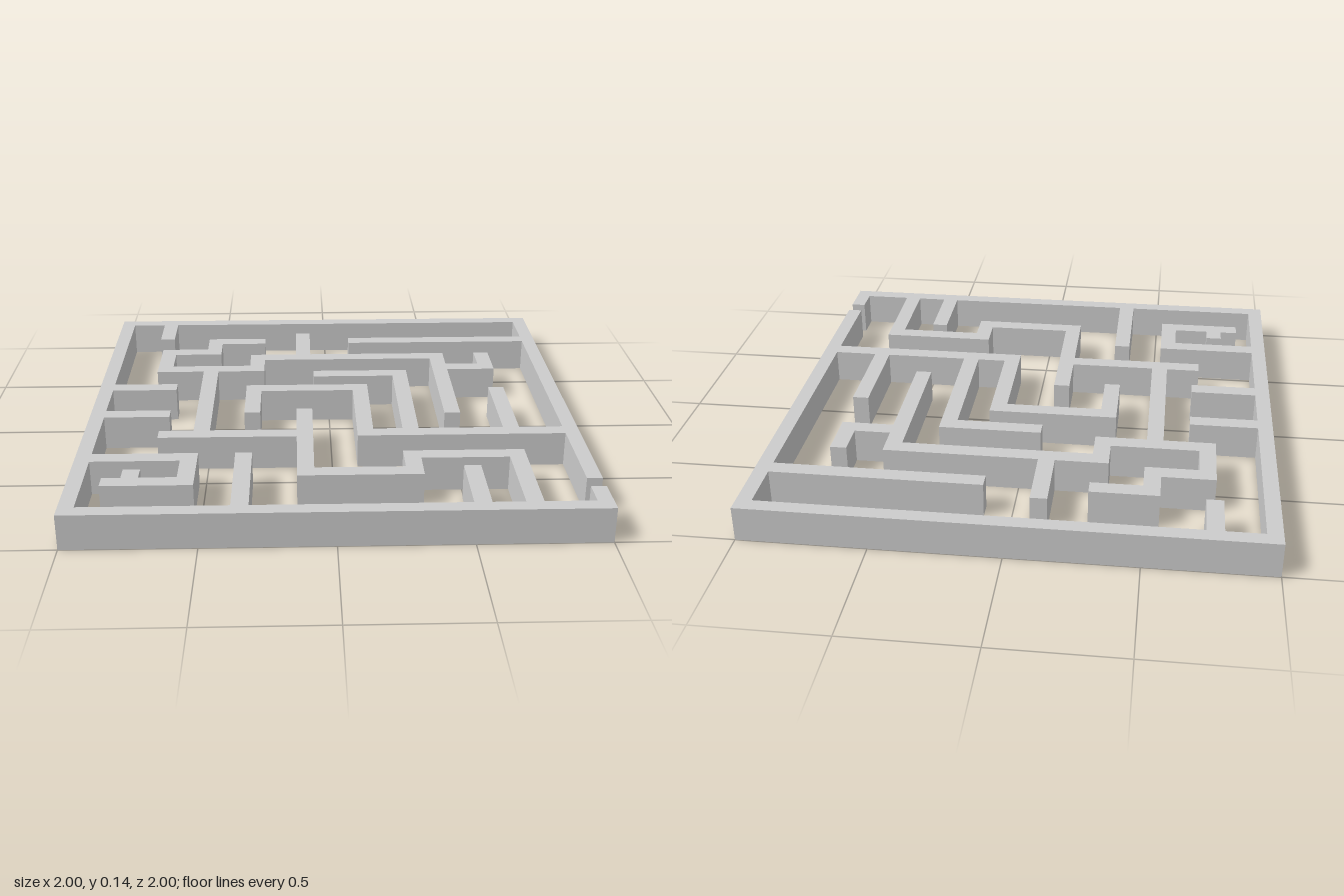
import * as THREE from 'three';

const HEIGHT = 0.14;
const material = new THREE.MeshStandardMaterial({ color: 0xcccccc, flatShading: true });

// Extrudes a wall of constant thickness along a path of [x, z] points, with mitred corners.
function wall(name, path, thickness = 0.066) {
  const pts = path.map(([x, z]) => new THREE.Vector2(x, -z));
  const dirs = pts.slice(1).map((p, i) => p.clone().sub(pts[i]).normalize());
  const left = [], right = [];
  pts.forEach((p, i) => {
    const a = dirs[Math.max(i - 1, 0)], b = dirs[Math.min(i, dirs.length - 1)];
    const miter = new THREE.Vector2(-a.y - b.y, a.x + b.x);
    miter.multiplyScalar(thickness / miter.lengthSq());
    left.push(p.clone().add(miter));
    right.unshift(p.clone().sub(miter));
  });
  const geometry = new THREE.ExtrudeGeometry(new THREE.Shape([...left, ...right]), {
    depth: HEIGHT, bevelEnabled: false,
  });
  geometry.rotateX(-Math.PI / 2);
  const mesh = new THREE.Mesh(geometry, material);
  mesh.name = name;
  return mesh;
}

export function createModel() {
  const maze = new THREE.Group();
  maze.name = 'maze';

  // Outer boundary, open at the exit on the +x side
  maze.add(wall('outerWall', [
    [0.97, 0.765], [0.97, -0.97], [-0.97, -0.97], [-0.97, 0.97], [0.97, 0.97], [0.97, 0.83],
  ], 0.06));

  // Inner walls, each butting against its neighbour
  const innerWalls = {
    backLeftStub: [[-0.76, -0.94], [-0.76, -0.74]],
    backRightWall: [[0.107, -0.705], [0.94, -0.705]],
    steppedWall: [[-0.29, -0.705], [-0.525, -0.705], [-0.525, -0.57], [-0.735, -0.57], [-0.735, -0.36],
      [-0.32, -0.36], [-0.32, -0.495], [0.508, -0.495], [0.508, 0.155]],
    backStub: [[-0.11, -0.805], [-0.11, -0.528]],
    backHook: [[0.541, -0.36], [0.72, -0.36], [0.72, -0.53]],
    leftLongWall: [[-0.527, -0.327], [-0.527, 0.302]],
    leftCrossWall: [[-0.7, 0.335], [-0.143, 0.335]],
    frontSteppedWall: [[-0.11, 0.095], [-0.11, 0.68], [0.305, 0.68], [0.305, 0.543], [0.715, 0.543], [0.715, 0.94]],
    centreWall: [[-0.328, 0.13], [-0.328, -0.13], [0.135, -0.13], [0.135, 0.335], [0.94, 0.335]],
    centreHook: [[-0.065, -0.29], [0.32, -0.29], [0.32, 0.302]],
    rightStub: [[0.73, -0.113], [0.73, 0.302]],
    leftBackStub: [[-0.94, -0.152], [-0.665, -0.152]],
    leftFrontStub: [[-0.94, 0.132], [-0.67, 0.132]],
    frontLeftHook: [[-0.94, 0.543], [-0.56, 0.543], [-0.56, 0.747], [-0.875, 0.747]],
    hookStub: [[-0.77, 0.645], [-0.77, 0.714]],
    frontLeftStub: [[-0.35, 0.512], [-0.35, 0.94]],
    frontRightStub: [[0.527, 0.645], [0.527, 0.94]],
  };
  for (const [name, path] of Object.entries(innerWalls)) maze.add(wall(name, path));

  return maze;
}
